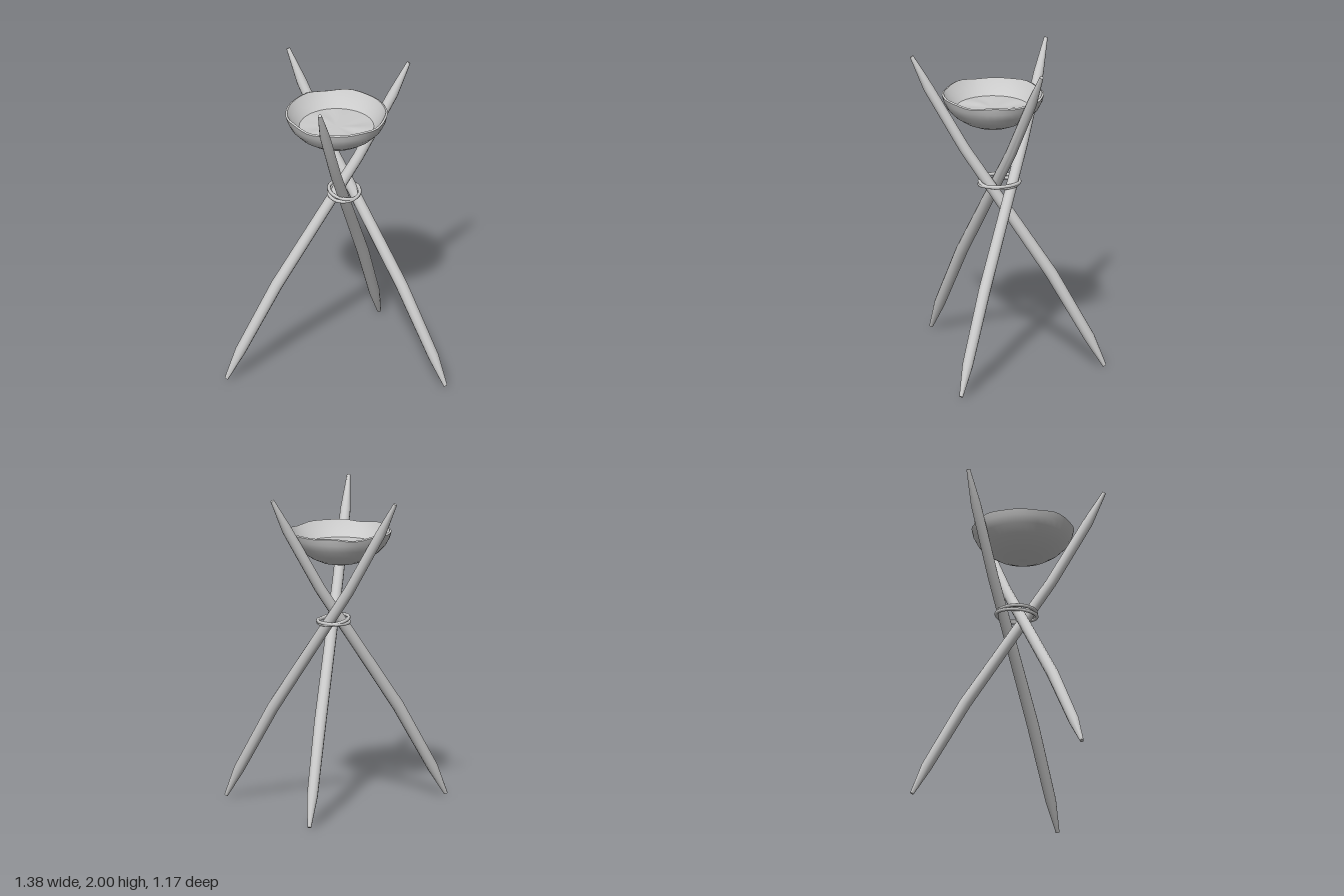
import * as THREE from 'three';
import { toCreasedNormals } from 'three/addons/utils/BufferGeometryUtils.js';

const material = new THREE.MeshStandardMaterial({ color: 0xcccccc });

function addMesh(group, name, geometry) {
  const mesh = new THREE.Mesh(geometry, material);
  mesh.name = name;
  group.add(mesh);
}

// A whittled pole: pointed at both ends, with a slight S bend
function pole(foot, tip) {
  const axis = tip.clone().sub(foot);
  const length = axis.length();
  const profile = [
    [0, 0], [0.012, 0], [0.034, 0.09], [0.038, 0.3], [0.036, 0.5],
    [0.034, 0.7], [0.032, 0.9], [0.012, 1], [0, 1],
  ].map(([r, t]) => new THREE.Vector2(r, t * length));
  const geo = new THREE.LatheGeometry(profile, 12);
  const turn = new THREE.Quaternion().setFromUnitVectors(
    new THREE.Vector3(0, 1, 0), axis.clone().normalize());
  const side = new THREE.Vector3(axis.x, 0, axis.z).normalize();
  const pos = geo.attributes.position;
  const v = new THREE.Vector3();
  for (let i = 0; i < pos.count; i++) {
    v.fromBufferAttribute(pos, i);
    const t = v.y / length;
    v.applyQuaternion(turn).add(foot);
    v.addScaledVector(side, -0.03 * Math.sin(t * Math.PI * 2));
    pos.setXYZ(i, v.x, v.y, v.z);
  }
  return toCreasedNormals(geo, 0.9);
}

// A shallow bowl with an uneven rim and a flat, slightly rough filling
function bowl() {
  const profile = [
    [0, 1.535], [0.06, 1.538], [0.12, 1.552], [0.18, 1.578], [0.24, 1.618],
    [0.285, 1.665], [0.308, 1.71], [0.318, 1.75], [0.306, 1.755],
    [0.275, 1.7], [0.232, 1.655], [0.12, 1.655], [0, 1.655],
  ].map(([r, y]) => new THREE.Vector2(r, y));
  const geo = new THREE.LatheGeometry(profile, 40);
  const pos = geo.attributes.position;
  for (let i = 0; i < pos.count; i++) {
    const x = pos.getX(i), y = pos.getY(i), z = pos.getZ(i);
    const a = Math.atan2(z, x);
    const r = Math.hypot(x, z);
    const wave = Math.sin(a * 5 + 1) + 0.7 * Math.sin(a * 8);
    if (y > 1.74) pos.setY(i, y - 0.004 + 0.005 * wave);
    else if (r > 0.1 && r < 0.13 && y > 1.6) pos.setY(i, y + 0.003 * wave);
  }
  geo.translate(0, 0, 0.08);
  return toCreasedNormals(geo, 0.6);
}

// One tilted loop of cord around the crossing of the poles
function cordLoop(y, tiltX, tiltZ, scale) {
  const points = [];
  for (let i = 0; i < 24; i++) {
    const a = (i / 24) * Math.PI * 2;
    const c = Math.cos(a), s = Math.sin(a);
    points.push(new THREE.Vector3(
      0.047 + 0.095 * scale * c,
      y + tiltX * c + tiltZ * s,
      0.048 + 0.125 * scale * s));
  }
  const curve = new THREE.CatmullRomCurve3(points, true);
  return new THREE.TubeGeometry(curve, 48, 0.011, 8, true);
}

export function createModel() {
  const model = new THREE.Group();
  model.name = 'tripodBrazier';

  // Three crossing poles
  const poles = [
    ['rightPole', [-0.68, 0.012, 0.336], [0.445, 1.99, -0.14]],
    ['leftPole', [0.68, 0.012, 0.415], [-0.305, 1.99, -0.315]],
    ['backPole', [0.255, 0.008, -0.575], [-0.098, 1.993, 0.575]],
  ];
  for (const [name, foot, tip] of poles) {
    addMesh(model, name, pole(new THREE.Vector3(...foot), new THREE.Vector3(...tip)));
  }

  // Bowl resting between the upper pole ends
  addMesh(model, 'bowl', bowl());

  // Cord lashing
  const lashing = new THREE.Group();
  lashing.name = 'lashing';
  addMesh(lashing, 'upperCord', cordLoop(1.19, -0.017, 0.003, 1));
  addMesh(lashing, 'lowerCord', cordLoop(1.18, 0.004, -0.004, 1.02));
  model.add(lashing);

  return model;
}
